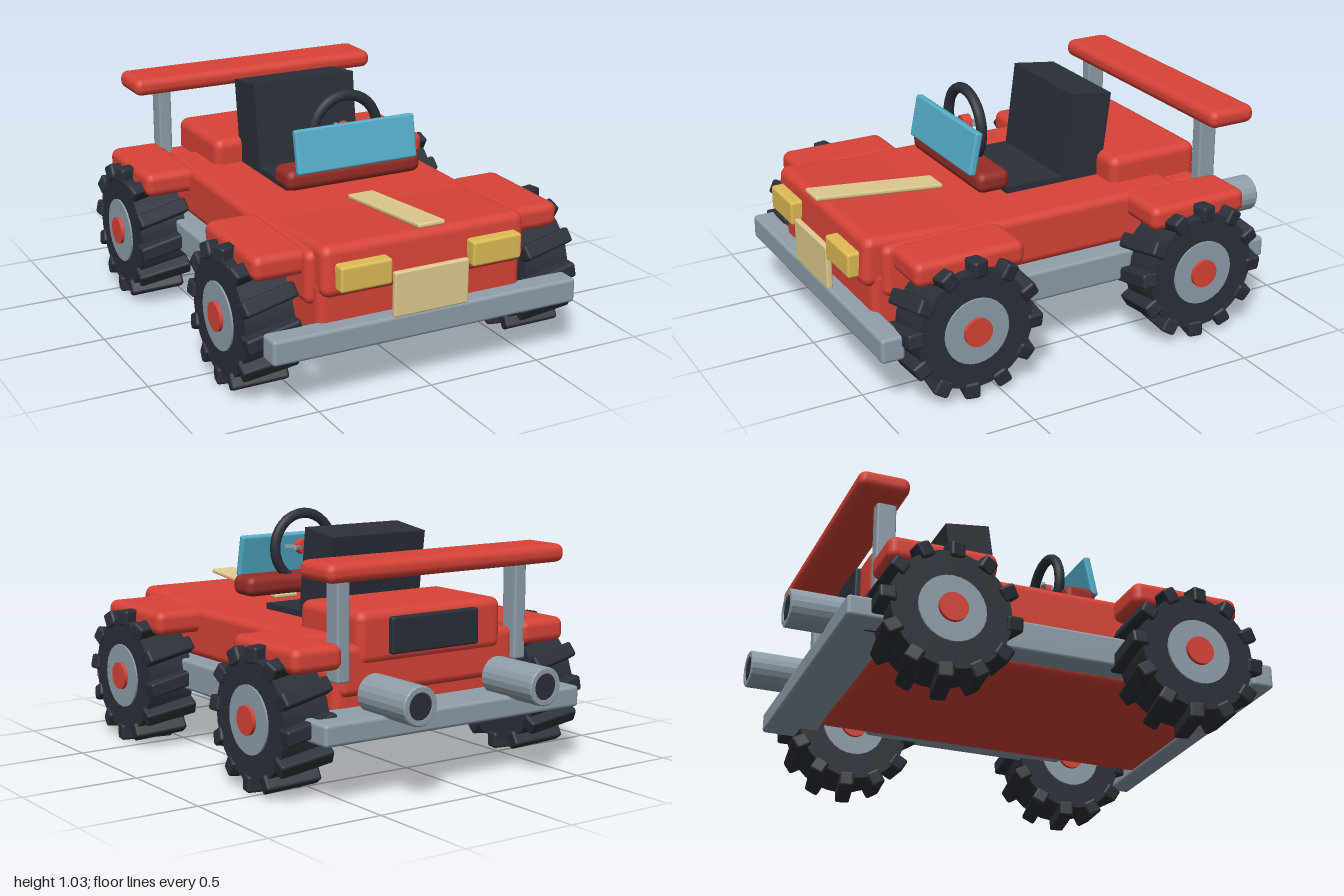
import * as THREE from 'three';
import { RoundedBoxGeometry } from 'three/addons/geometries/RoundedBoxGeometry.js';

const paint = (color) => new THREE.MeshStandardMaterial({ color });
const RED = paint(0xd84337), DARK_RED = paint(0x962c28), BLACK = paint(0x2b3038), GREY = paint(0x8f9faa);
const BLUE = paint(0x55b0cc), YELLOW = paint(0xdfbb55), BEIGE = paint(0xe0cb8f);

export function createModel() {
  const model = new THREE.Group();
  model.name = 'buggy';

  const add = (name, geometry, material, parent = model) => {
    const mesh = new THREE.Mesh(geometry, material);
    mesh.name = name;
    parent.add(mesh);
    return mesh;
  };

  // Box given by its x, y and z ranges, with an optional rounded edge and tilt about x
  const box = (name, material, [x0, x1], [y0, y1], [z0, z1], radius = 0, tilt = 0) => {
    const size = [x1 - x0, y1 - y0, z1 - z0];
    const geometry = radius ? new RoundedBoxGeometry(...size, 2, radius) : new THREE.BoxGeometry(...size);
    const mesh = add(name, geometry, material);
    mesh.position.set((x0 + x1) / 2, (y0 + y1) / 2, (z0 + z1) / 2);
    mesh.rotation.x = tilt;
    return mesh;
  };

  // Body
  box('chassis', RED, [-0.46, 0.46], [0.24, 0.5], [-0.64, 0.92], 0.035);
  box('tub', RED, [-0.49, 0.49], [0.39, 0.61], [-0.5, 0.88], 0.035);
  box('rearBody', RED, [-0.44, 0.44], [0.38, 0.59], [-0.66, -0.3], 0.035);
  box('engineCover', RED, [-0.365, 0.365], [0.5, 0.72], [-0.67, -0.24], 0.04);
  box('hood', RED, [-0.455, 0.455], [0.415, 0.625], [0.4, 0.95], 0.04, -0.08);
  box('rearGrille', BLACK, [-0.22, 0.22], [0.54, 0.69], [-0.695, -0.65], 0.01);

  // Bumpers
  box('frontBumper', GREY, [-0.685, 0.685], [0.225, 0.33], [0.89, 0.99], 0.015);
  box('rearBumper', GREY, [-0.645, 0.645], [0.25, 0.34], [-0.845, -0.62], 0.015);

  // Front trim
  box('hoodStripe', BEIGE, [-0.06, 0.06], [0.64, 0.66], [0.405, 0.978], 0.008, -0.1);
  box('frontPlate', BEIGE, [-0.167, 0.167], [0.325, 0.512], [0.965, 0.992], 0.008);

  // Cockpit
  box('seatCushion', BLACK, [-0.24, 0.24], [0.59, 0.637], [-0.2, 0.2]);
  box('seatBack', BLACK, [-0.24, 0.24], [0.585, 0.985], [-0.28, -0.08], 0, -0.13);
  box('dashboard', DARK_RED, [-0.315, 0.315], [0.66, 0.75], [0.22, 0.37], 0.035);
  box('windshield', BLUE, [-0.278, 0.278], [0.735, 0.92], [0.345, 0.378], 0.01, -0.2);

  // Steering wheel with flat-lying spokes
  const steering = new THREE.Group();
  steering.name = 'steeringWheel';
  steering.position.set(0, 0.862, 0.268);
  model.add(steering);
  add('rim', new THREE.TorusGeometry(0.15, 0.023, 10, 32), BLACK, steering);
  const hub = add('steeringHub', new THREE.CylinderGeometry(0.035, 0.035, 0.04, 16), RED, steering);
  hub.rotation.x = Math.PI / 2;
  for (let i = 0; i < 3; i++) {
    const spoke = add('spoke', new THREE.BoxGeometry(0.014, 0.014, 0.17), GREY, steering);
    spoke.rotation.y = (i * Math.PI) / 3;
    spoke.position.z = -0.003;
  }

  // Rear wing
  box('rearWing', RED, [-0.595, 0.595], [0.86, 0.938], [-0.8, -0.58], 0.034);

  // Exhaust tube: closed bevelled lip around a dark recessed bore
  const exhaustProfile = [[0, 0], [0.08, 0], [0.08, 0.295], [0.075, 0.3], [0.055, 0.3], [0.055, 0.27]]
    .map(([r, y]) => new THREE.Vector2(r, y));

  // Wheel: tyre, axle-through rim, cap and twelve slanted lugs, axis along x
  const buildWheel = (x, z) => {
    const wheel = new THREE.Group();
    wheel.name = 'wheel';
    wheel.position.set(x, 0.302, z);
    model.add(wheel);
    const disc = (name, radius, width, material) => {
      add(name, new THREE.CylinderGeometry(radius, radius, width, 28), material, wheel).rotation.z = Math.PI / 2;
    };
    disc('tyre', 0.25, 0.21, BLACK);
    disc('rim', 0.14, 0.225, GREY);
    disc('hubCap', 0.06, 0.255, RED);
    const lugGeometry = new RoundedBoxGeometry(0.235, 0.07, 0.065, 2, 0.012);
    for (let i = 0; i < 12; i++) {
      const arm = new THREE.Group();
      arm.rotation.x = (i * Math.PI) / 6;
      wheel.add(arm);
      const lug = add('lug', lugGeometry, BLACK, arm);
      lug.position.y = 0.26;
      lug.rotation.y = 0.2;
    }
  };

  // Everything that comes in left and right pairs
  for (const s of [-1, 1]) {
    const span = (a, b) => (s > 0 ? [a, b] : [-b, -a]);
    box('frontFender', RED, span(0.455, 0.69), [0.505, 0.61], [0.36, 0.84], 0.035);
    box('rearFender', RED, span(0.455, 0.69), [0.505, 0.61], [-0.7, -0.24], 0.035);
    box('sideRail', GREY, span(0.44, 0.57), [0.262, 0.395], [-0.4, 0.55], 0.015);
    box('wingPost', GREY, span(0.42, 0.48), [0.45, 0.88], [-0.688, -0.605], 0.01);
    box('headlight', YELLOW, span(0.18, 0.405), [0.472, 0.578], [0.93, 0.998], 0.012);

    const exhaust = add('exhaust', new THREE.LatheGeometry(exhaustProfile, 20), GREY);
    exhaust.material = GREY.clone();
    exhaust.material.side = THREE.DoubleSide;
    exhaust.material.flatShading = true;
    exhaust.position.set(s * 0.315, 0.4, -0.7);
    exhaust.rotation.x = -Math.PI / 2;
    const bore = add('exhaustBore', new THREE.CylinderGeometry(0.055, 0.055, 0.02, 20), BLACK);
    bore.position.set(s * 0.315, 0.4, -0.985);
    bore.rotation.x = Math.PI / 2;

    buildWheel(s * 0.633, 0.61);
    buildWheel(s * 0.633, -0.455);
  }

  return model;
}
